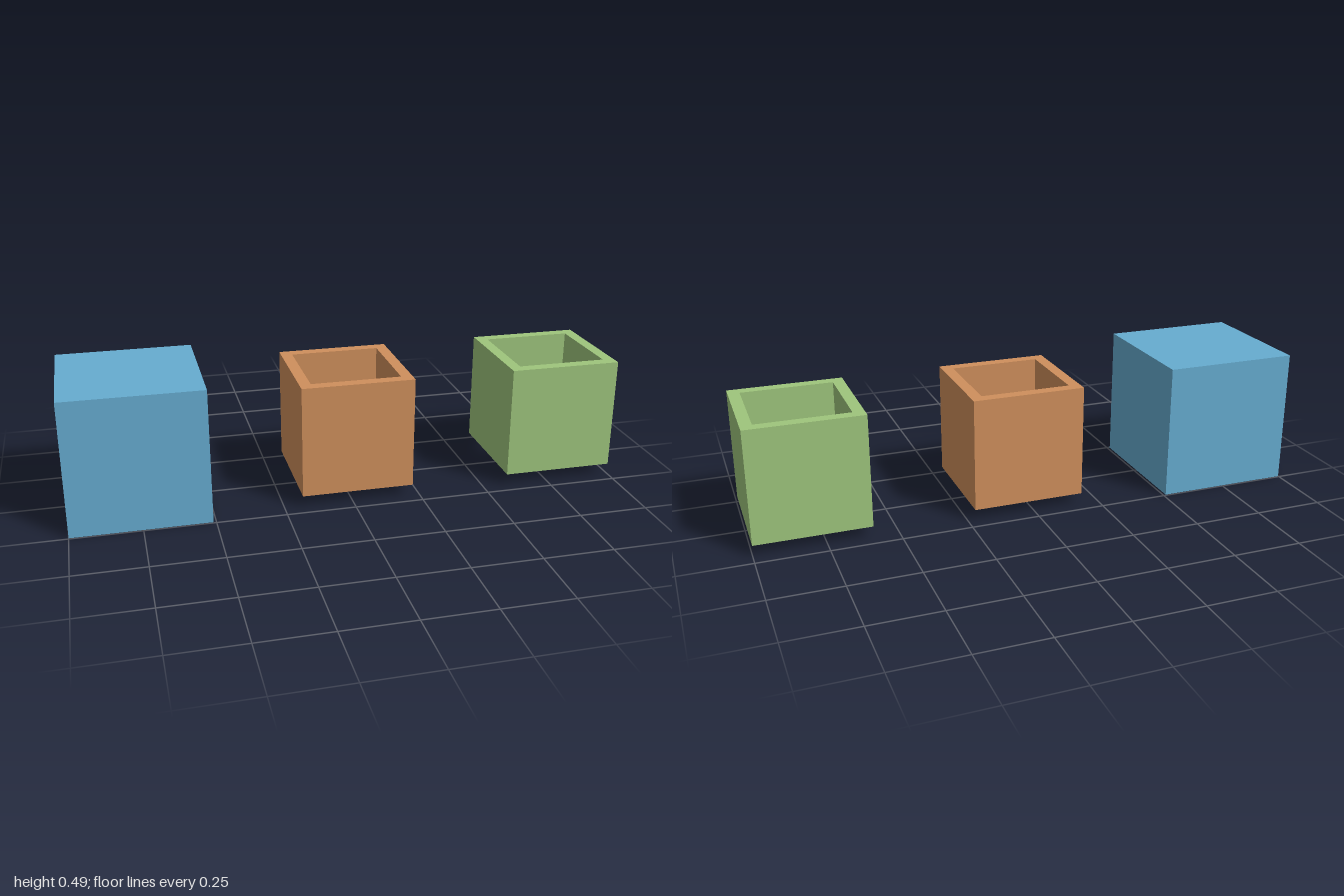
import * as THREE from 'three';

const OUTER = 0.49;   // closed cube
const SIZE = 0.408;   // open boxes
const WALL = 0.041;
const SPACING = 0.775;
const MID_Y = OUTER / 2;

function makeMesh(name, geometry, color) {
  const mesh = new THREE.Mesh(geometry, new THREE.MeshStandardMaterial({ color }));
  mesh.name = name;
  return mesh;
}

function squarePath(path, half) {
  path.moveTo(-half, -half);
  path.lineTo(half, -half);
  path.lineTo(half, half);
  path.lineTo(-half, half);
  path.closePath();
  return path;
}

// Upright square tube, centred on the origin
function squareTube(size, wall, height) {
  const shape = squarePath(new THREE.Shape(), size / 2);
  shape.holes.push(squarePath(new THREE.Path(), size / 2 - wall));
  const geometry = new THREE.ExtrudeGeometry(shape, { depth: height, bevelEnabled: false });
  return geometry.translate(0, 0, -height / 2).rotateX(-Math.PI / 2);
}

// Square cup: one outer skin, an inner skin facing inwards, a rim and a floor
function squareCup(size, wall) {
  const o = size / 2, i = o - wall;
  // Rings from the underside, up the outside, over the rim and down to the floor
  const rings = [[0, -o], [o, -o], [o, o], [i, o], [i, -o + wall], [0, -o + wall]];
  const corners = [[1, 1], [1, -1], [-1, -1], [-1, 1]];
  const positions = [];
  for (let r = 0; r < rings.length - 1; r++) {
    for (let c = 0; c < 4; c++) {
      const point = (ring, k) => {
        const [h, y] = rings[ring], [x, z] = corners[k % 4];
        return [x * h, y, z * h];
      };
      const a = point(r, c), b = point(r, c + 1), d = point(r + 1, c), e = point(r + 1, c + 1);
      if (rings[r][0] > 0) positions.push(...a, ...b, ...e);
      if (rings[r + 1][0] > 0) positions.push(...a, ...e, ...d);
      else positions.push();
    }
  }
  const geometry = new THREE.BufferGeometry();
  geometry.setAttribute('position', new THREE.Float32BufferAttribute(positions, 3));
  geometry.computeVertexNormals();
  return geometry;
}

export function createModel() {
  const model = new THREE.Group();
  model.name = 'threeBoxes';

  // Closed cube, open-topped box and open-ended sleeve in a row
  const parts = [
    makeMesh('closedCube', new THREE.BoxGeometry(OUTER, OUTER, OUTER), 0x66acd0),
    makeMesh('openTopBox', squareCup(SIZE, WALL), 0xcf8f5c),
    makeMesh('openSleeve', squareTube(SIZE, WALL, SIZE), 0x9ec57c),
  ];
  parts.forEach((part, k) => {
    part.position.set(-1 + OUTER / 2 + k * SPACING, MID_Y, 0);
    model.add(part);
  });
  return model;
}
